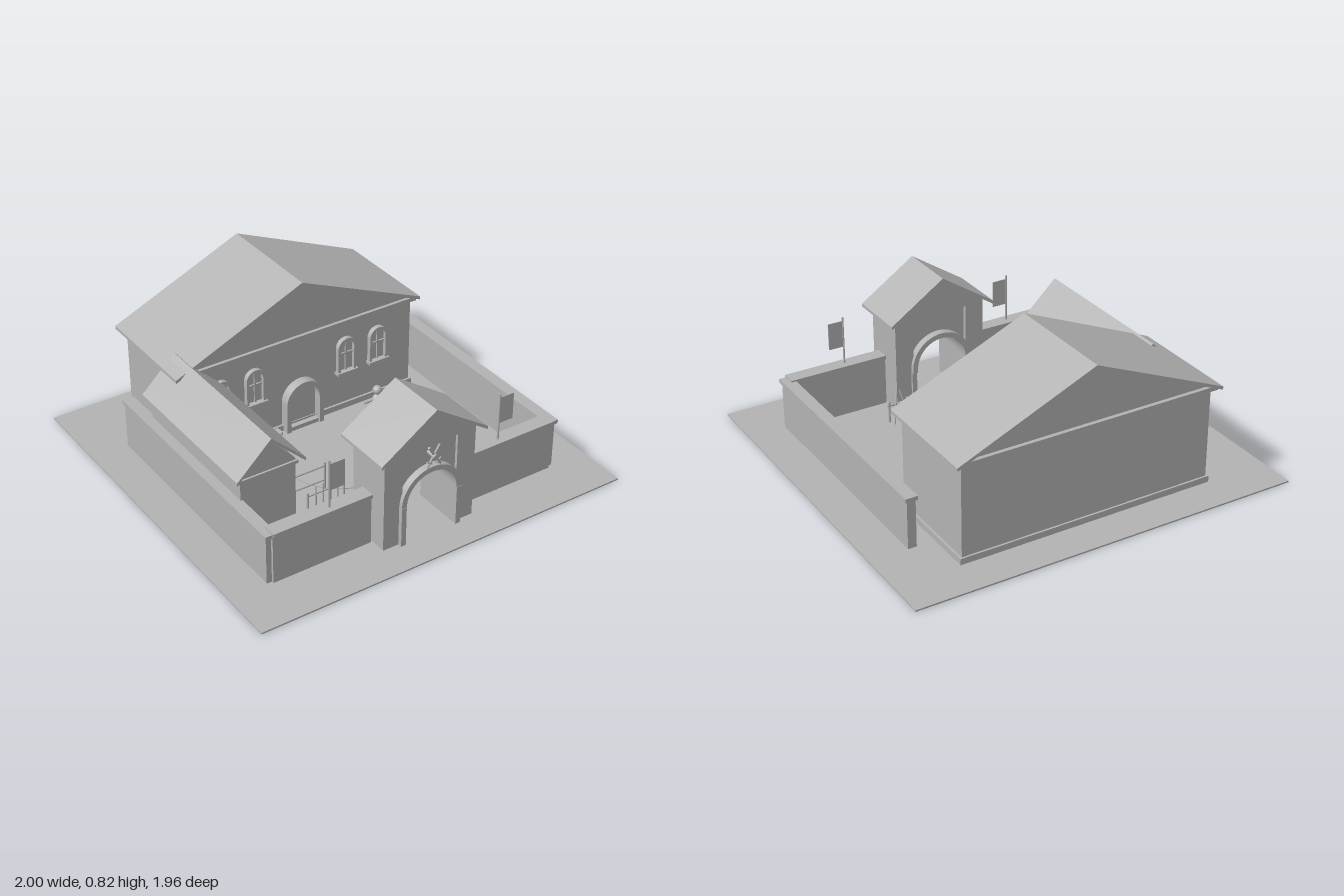
import * as THREE from 'three';

export function createModel() {
  const root = new THREE.Group();
  root.name = 'walledCourtyard';
  const stone = new THREE.MeshStandardMaterial({ color: 0xb3b3b3 });
  stone.name = 'stone grey';

  const add = (name, geo, parent = root) => {
    const m = new THREE.Mesh(geo, stone);
    m.name = name;
    parent.add(m);
    return m;
  };
  const group = (name, x = 0, y = 0, z = 0, ry = 0) => {
    const g = new THREE.Group();
    g.name = name;
    g.position.set(x, y, z);
    g.rotation.y = ry;
    root.add(g);
    return g;
  };
  // box given by its min and max on each axis
  const box = (name, x0, x1, y0, y1, z0, z1, parent) => {
    const g = new THREE.BoxGeometry(x1 - x0, y1 - y0, z1 - z0);
    g.translate((x0 + x1) / 2, (y0 + y1) / 2, (z0 + z1) / 2);
    return add(name, g, parent);
  };
  const prism = (name, shape, z0, z1, parent) => {
    const g = new THREE.ExtrudeGeometry(shape, { depth: z1 - z0, bevelEnabled: false, curveSegments: 20 });
    g.translate(0, 0, z0);
    return add(name, g, parent);
  };
  const poly = pts => new THREE.Shape(pts.map(p => new THREE.Vector2(...p)));
  const rod = (name, a, b, r, parent) => {
    const p = new THREE.Vector3(...a), q = new THREE.Vector3(...b);
    const m = add(name, new THREE.CylinderGeometry(r, r, p.distanceTo(q), 8), parent);
    m.position.copy(p).add(q).multiplyScalar(0.5);
    m.quaternion.setFromUnitVectors(new THREE.Vector3(0, 1, 0), q.sub(p).normalize());
    return m;
  };

  // round-headed outline, and a frame made from two of them
  const archShape = (r, y0, spring) => {
    const s = new THREE.Shape();
    s.moveTo(-r, y0);
    s.lineTo(r, y0);
    s.lineTo(r, spring);
    s.absarc(0, spring, r, 0, Math.PI, false);
    s.closePath();
    return s;
  };
  const archFrame = (R, r, y0, spring) => {
    const s = new THREE.Shape();
    s.moveTo(-R, y0);
    s.lineTo(-r, y0);
    s.lineTo(-r, spring);
    s.absarc(0, spring, r, Math.PI, 0, true);
    s.lineTo(r, y0);
    s.lineTo(R, y0);
    s.lineTo(R, spring);
    s.absarc(0, spring, R, 0, Math.PI, false);
    s.closePath();
    return s;
  };

  // two-pitch roof slab
  const gableRoof = (name, w, eave, ridge, t, z0, z1, parent) =>
    prism(name, poly([[-w, eave - t], [0, ridge - t], [w, eave - t], [w, eave], [0, ridge], [-w, eave]]), z0, z1, parent);
  // walls with gable ends
  const gableBody = (name, w, wallTop, apex, z0, z1, parent) =>
    prism(name, poly([[-w, 0.01], [w, 0.01], [w, wallTop], [0, apex], [-w, wallTop]]), z0, z1, parent);

  // ground
  box('ground', -1, 1, 0, 0.008, -0.98, 0.98);
  const yard = add('yardCircle', new THREE.CylinderGeometry(0.28, 0.28, 0.005, 48));
  yard.position.set(0, 0.01, 0.08);

  // main hall
  const hall = group('mainHall');
  gableBody('hallWalls', 0.66, 0.515, 0.803, -0.78, -0.255, hall);
  box('hallPlinth', -0.672, 0.672, 0.005, 0.04, -0.79, -0.243, hall);
  box('hallCornice', -0.685, 0.685, 0.5, 0.522, -0.8, -0.238, hall);
  gableRoof('hallRoof', 0.7, 0.523, 0.823, 0.017, -0.82, -0.225, hall);
  prism('hallDoorFrame', archFrame(0.107, 0.083, 0.01, 0.168), -0.256, -0.205, hall);
  prism('hallDoor', archShape(0.085, 0.01, 0.168), -0.256, -0.248, hall);
  box('hallDoorStep', -0.085, 0.085, 0.005, 0.03, -0.255, -0.215, hall);
  for (const x of [-0.455, -0.265, 0.265, 0.455]) {
    const w = group('hallWindow', x, 0, -0.255);
    prism('windowFrame', archFrame(0.053, 0.04, 0.235, 0.37), 0, 0.025, w);
    prism('windowPane', archShape(0.041, 0.235, 0.37), 0, 0.006, w);
    box('windowMullion', -0.004, 0.004, 0.235, 0.409, 0, 0.014, w);
    box('windowBar', -0.04, 0.04, 0.33, 0.338, 0, 0.014, w);
    box('windowSill', -0.06, 0.06, 0.222, 0.237, 0, 0.035, w);
  }

  // west wing
  const wing = group('sideWing', -0.62);
  gableBody('wingWalls', 0.145, 0.39, 0.55, -0.36, 0.44, wing);
  box('wingCornice', -0.155, 0.155, 0.365, 0.382, -0.365, 0.45, wing);
  gableRoof('wingRoof', 0.18, 0.4, 0.57, 0.017, -0.38, 0.475, wing);
  const wingDoor = group('wingDoor', -0.476, 0, 0.115, Math.PI / 2);
  prism('wingDoorFrame', archFrame(0.05, 0.036, 0.01, 0.265), 0, 0.042, wingDoor);
  prism('wingDoorLeaf', archShape(0.037, 0.01, 0.265), 0, 0.008, wingDoor);

  // perimeter walls
  for (const s of [-1, 1]) {
    const x = s * 0.785;
    box('sideWall', x - 0.022, x + 0.022, 0.005, 0.253, -0.56, 0.715);
    box('sideWallCap', x - 0.031, x + 0.031, 0.252, 0.272, -0.567, 0.727);
    const a = Math.min(s * 0.26, s * 0.78), b = Math.max(s * 0.26, s * 0.78);
    box('frontWall', a, b, 0.005, 0.262, 0.672, 0.728);
    box('frontWallCap', a, b, 0.26, 0.28, 0.662, 0.738);
  }

  // gatehouse
  const gate = group('gatehouse');
  for (const s of [-1, 1]) {
    const x = s * 0.2;
    box('gatePillar', x - 0.05, x + 0.05, 0.005, 0.5, 0.572, 0.81, gate);
    box('gateColumn', s * 0.153 - 0.013, s * 0.153 + 0.013, 0.005, 0.217, 0.56, 0.832, gate);
  }
  const wall = archFrame(0.16, 0.14, 0.01, 0.22);
  const front = new THREE.Shape();
  front.moveTo(-0.16, 0.01);
  front.lineTo(-0.14, 0.01);
  front.lineTo(-0.14, 0.22);
  front.absarc(0, 0.22, 0.14, Math.PI, 0, true);
  front.lineTo(0.14, 0.01);
  front.lineTo(0.16, 0.01);
  front.lineTo(0.16, 0.5);
  front.lineTo(-0.16, 0.5);
  front.closePath();
  prism('gateArchWall', front, 0.592, 0.795, gate);
  prism('gateArchRing', archFrame(0.165, 0.138, 0.2, 0.22), 0.552, 0.83, gate);
  prism('gateGable', poly([[-0.25, 0.49], [0.25, 0.49], [0.25, 0.51], [0, 0.678], [-0.25, 0.51]]), 0.572, 0.81, gate);
  gableRoof('gateRoof', 0.29, 0.502, 0.695, 0.017, 0.53, 0.845, gate);

  // crossed blades over the gate
  for (const s of [-1, 1]) {
    rod('emblemBlade', [-s * 0.036, 0.395, 0.835], [s * 0.03, 0.5, 0.835], 0.006, gate);
    rod('emblemGuard', [-s * 0.038, 0.425, 0.835], [-s * 0.01, 0.408, 0.835], 0.004, gate);
  }
  rod('emblemBoss', [0, 0.447, 0.79], [0, 0.447, 0.85], 0.012, gate);

  // flags on the front wall
  for (const x of [-0.47, 0.47]) {
    rod('flagPole', [x, 0.27, 0.705], [x, 0.53, 0.705], 0.005);
    box('flagCloth', x, x + 0.08, 0.37, 0.51, 0.703, 0.707);
  }

  // training dummies
  for (const x of [-0.32, 0.315]) {
    const d = group('trainingDummy', x, 0, -0.042);
    box('dummyBase', -0.045, 0.045, 0.008, 0.03, -0.035, 0.035, d);
    rod('dummyPost', [0, 0.02, 0], [0, 0.2, 0], 0.008, d);
    const torso = add('dummyTorso', new THREE.SphereGeometry(0.032, 16, 12), d);
    torso.scale.set(1, 1.5, 0.8);
    torso.position.y = 0.135;
    rod('dummyArms', [-0.078, 0.155, 0], [0.078, 0.155, 0], 0.006, d);
    add('dummyHead', new THREE.SphereGeometry(0.024, 16, 12), d).position.y = 0.205;
  }

  // bench by the hall
  box('benchSeat', -0.38, -0.172, 0.065, 0.08, -0.19, -0.145);
  for (const x of [-0.37, -0.2]) box('benchLeg', x, x + 0.018, 0.008, 0.066, -0.185, -0.15);

  // weapon racks in the yard
  for (const z of [0.27, 0.43]) {
    const rack = group('weaponRack', -0.305, 0, z);
    for (const x of [-0.1, 0.1]) rod('rackPost', [x, 0.008, 0], [x, 0.16, 0], 0.006, rack);
    for (const y of [0.06, 0.14]) rod('rackRail', [-0.1, y, 0], [0.1, y, 0], 0.005, rack);
    if (z > 0.4) for (const x of [-0.06, -0.02, 0.02, 0.06]) rod('rackSpear', [x, 0.01, 0.008], [x, 0.19, 0.008], 0.004, rack);
  }

  // small stand with leaning spears
  const stand = group('spearStand', 0.29, 0, 0.487);
  rod('standRail', [-0.06, 0.1, 0], [0.06, 0.1, 0], 0.006, stand);
  for (const s of [-1, 1]) {
    rod('standPost', [s * 0.05, 0.008, 0], [s * 0.05, 0.12, 0], 0.006, stand);
    rod('standSpear', [s * 0.045, 0.01, -0.045], [s * 0.01, 0.17, 0], 0.004, stand);
  }
  return root;
}
